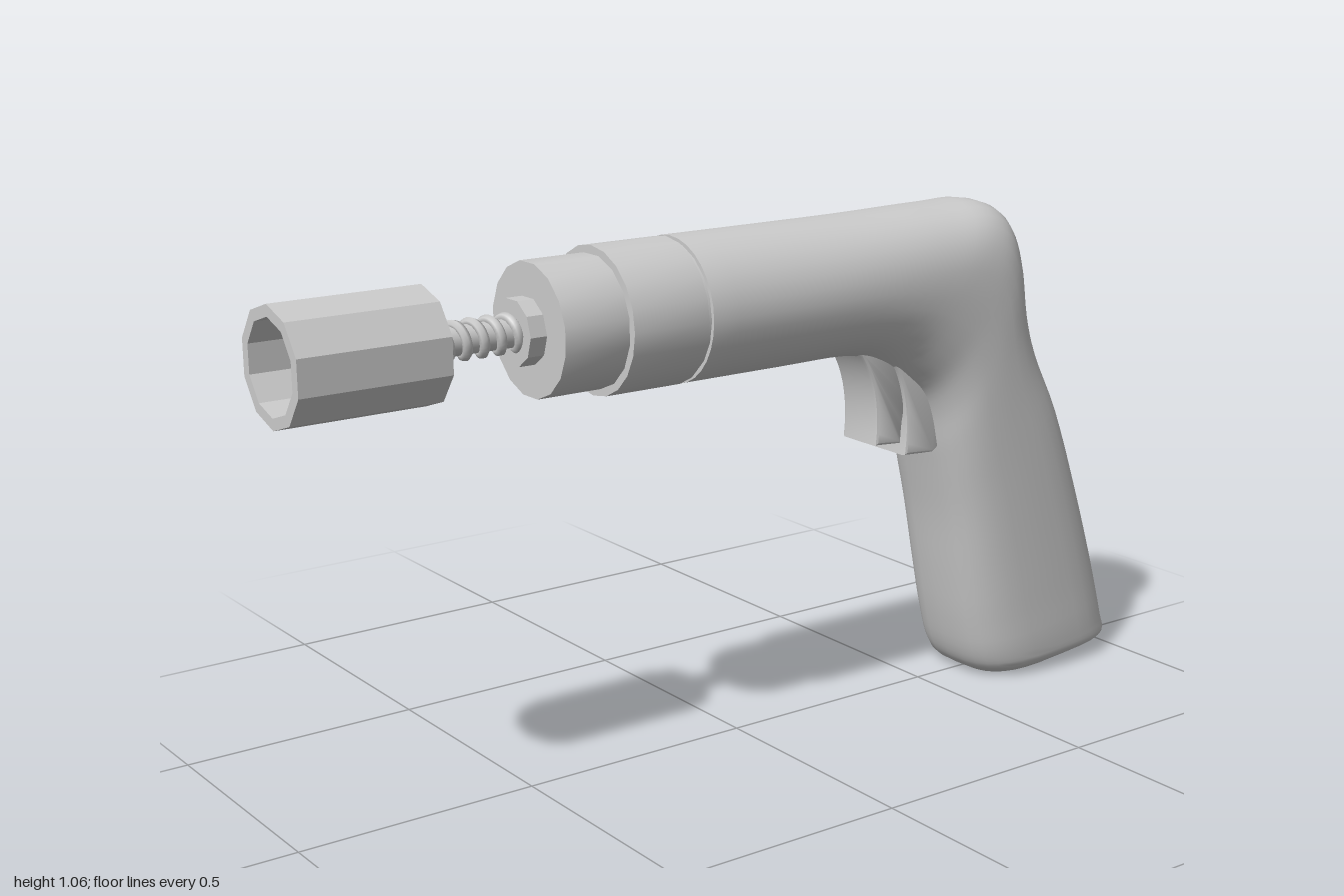
import * as THREE from 'three';
import { toCreasedNormals } from 'three/addons/utils/BufferGeometryUtils.js';

const AXIS_Y = 0.91;
const material = new THREE.MeshStandardMaterial({ color: 0xcccccc });
const flatMaterial = new THREE.MeshStandardMaterial({ color: 0xcccccc, flatShading: true });

function addPart(group, name, geometry, mat = material) {
  const mesh = new THREE.Mesh(geometry, mat);
  mesh.name = name;
  group.add(mesh);
  return mesh;
}

// Turned part along the x axis; profile is [x, radius] from back (+x) to front (-x)
function turned(profile, sides, start = 0) {
  const points = profile.map(([x, r]) => new THREE.Vector2(r, -x));
  const geo = new THREE.LatheGeometry(points, sides, start);
  geo.rotateZ(Math.PI / 2);
  geo.translate(0, AXIS_Y, 0);
  return geo;
}

// Bent body: each row is outer x, y, half width, inner x, y, squareness
function bodyGeometry() {
  const rows = [
    [-0.16, 1.055, 0.145, -0.16, 0.765, 2],
    [0.08, 1.055, 0.145, 0.08, 0.765, 2],
    [0.27, 1.055, 0.145, 0.25, 0.765, 2.1],
    [0.50, 1.058, 0.145, 0.33, 0.743, 2.3],
    [0.61, 1.056, 0.145, 0.39, 0.703, 2.5],
    [0.66, 1.03, 0.145, 0.435, 0.662, 2.6],
    [0.69, 0.97, 0.145, 0.46, 0.61, 2.7],
    [0.71, 0.84, 0.145, 0.477, 0.54, 2.8],
    [0.74, 0.74, 0.145, 0.492, 0.48, 2.9],
    [0.81, 0.60, 0.145, 0.517, 0.37, 3],
    [0.89, 0.39, 0.145, 0.54, 0.24, 3],
    [0.95, 0.21, 0.145, 0.562, 0.13, 3],
    [0.988, 0.08, 0.144, 0.585, 0.05, 3],
    [1.0, 0.045, 0.138, 0.605, 0.018, 3],
    [0.985, 0.037, 0.12, 0.635, 0.0, 3],
  ];
  const curve = (k) => new THREE.CatmullRomCurve3(
    rows.map((r) => new THREE.Vector3(r[k], r[k + 1], r[k + 2])));
  const outer = curve(0), inner = curve(3);
  const steps = (rows.length - 1) * 4, sides = 32;
  const positions = [], index = [];
  const power = (v, n) => Math.sign(v) * Math.abs(v) ** (2 / n);
  for (let i = 0; i <= steps; i++) {
    const o = outer.getPoint(i / steps), n = inner.getPoint(i / steps);
    for (let j = 0; j < sides; j++) {
      const a = (j / sides) * Math.PI * 2;
      const c = power(Math.cos(a), n.z), s = power(Math.sin(a), n.z);
      positions.push((o.x + n.x) / 2 + (o.x - n.x) / 2 * c,
        (o.y + n.y) / 2 + (o.y - n.y) / 2 * c, o.z * s);
      if (i < steps) {
        const p = i * sides + j, q = i * sides + (j + 1) % sides;
        index.push(p, q, p + sides, q, q + sides, p + sides);
      }
    }
  }
  // Close the base and the front end
  const last = steps * sides;
  for (let j = 1; j < sides - 1; j++) {
    index.push(last, last + j, last + j + 1);
    index.push(0, j + 1, j);
  }
  const geo = new THREE.BufferGeometry();
  geo.setAttribute('position', new THREE.Float32BufferAttribute(positions, 3));
  geo.setIndex(index);
  return toCreasedNormals(geo, 0.7);
}

// Trigger piece: concave finger side, extruded across z
function triggerGeometry(draw, width) {
  const shape = new THREE.Shape();
  draw(shape);
  const geo = new THREE.ExtrudeGeometry(shape, {
    depth: width - 0.016, bevelThickness: 0.008, bevelSize: 0.006, bevelOffset: -0.006,
    bevelSegments: 2, curveSegments: 10,
  });
  geo.translate(0, 0, -(width - 0.016) / 2);
  return toCreasedNormals(geo, 0.6);
}

export function createModel() {
  const model = new THREE.Group();
  model.name = 'powerScrewdriver';

  addPart(model, 'bodyAndGrip', bodyGeometry());

  // Barrel front: groove, sleeve, stepped nose and neck
  addPart(model, 'grooveRing', toCreasedNormals(
    turned([[-0.15, 0.138], [-0.175, 0.138]], 20), 0.6));
  addPart(model, 'sleeve', toCreasedNormals(
    turned([[-0.17, 0], [-0.17, 0.145], [-0.34, 0.145], [-0.34, 0]], 20), 0.6));
  addPart(model, 'nose', toCreasedNormals(
    turned([[-0.33, 0.13], [-0.48, 0.13], [-0.48, 0]], 16, Math.PI / 16), 0.6));
  addPart(model, 'neck', toCreasedNormals(
    turned([[-0.47, 0.065], [-0.515, 0.065], [-0.515, 0]], 10), 0.3));

  // Threaded shaft
  addPart(model, 'shaft', turned([[-0.50, 0.028], [-0.72, 0.028]], 16));
  const helix = [];
  const turns = 5.5;
  for (let i = 0; i <= turns * 12; i++) {
    const a = (i / 12) * Math.PI * 2;
    helix.push(new THREE.Vector3(-0.71 + (0.2 * i) / (turns * 12),
      AXIS_Y + 0.03 * Math.cos(a), 0.03 * Math.sin(a)));
  }
  addPart(model, 'thread', new THREE.TubeGeometry(
    new THREE.CatmullRomCurve3(helix), 160, 0.01, 6));

  // Ten-sided socket, hollow from the front
  addPart(model, 'socket', turned([[-0.70, 0], [-0.70, 0.1125], [-1, 0.1125],
    [-1, 0.09], [-0.73, 0.09], [-0.73, 0]], 10, Math.PI / 2), flatMaterial);

  // Trigger and its guide behind it
  addPart(model, 'trigger', triggerGeometry((s) => {
    s.moveTo(0.27, 0.78);
    s.quadraticCurveTo(0.335, 0.70, 0.32, 0.57);
    s.lineTo(0.39, 0.565);
    s.quadraticCurveTo(0.39, 0.65, 0.43, 0.72);
    s.lineTo(0.40, 0.78);
  }, 0.11));
  addPart(model, 'triggerGuide', triggerGeometry((s) => {
    s.moveTo(0.35, 0.76);
    s.quadraticCurveTo(0.41, 0.67, 0.392, 0.54);
    s.lineTo(0.47, 0.535);
    s.lineTo(0.51, 0.56);
    s.lineTo(0.48, 0.74);
  }, 0.13));

  return model;
}
